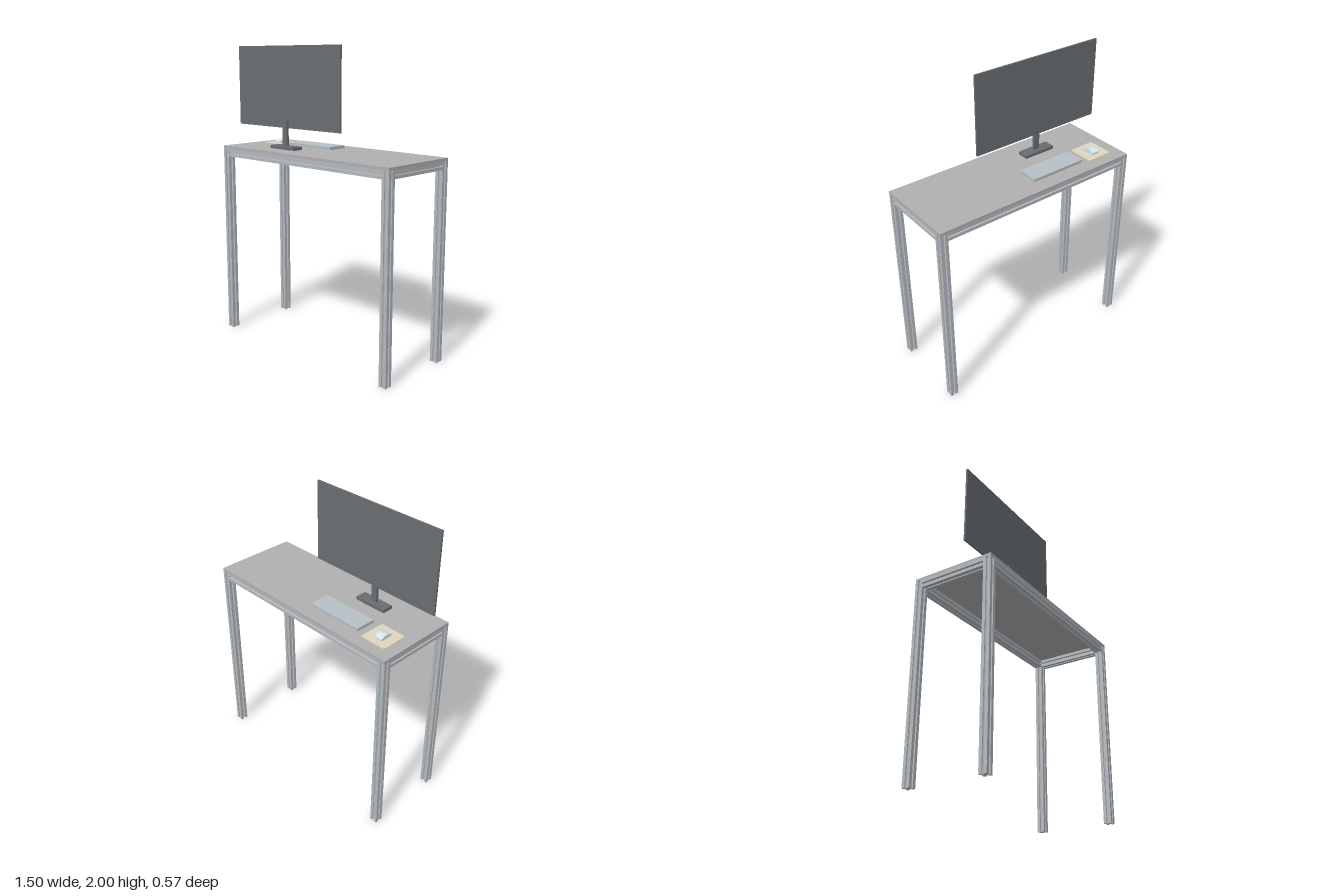
import * as THREE from 'three';

const mat = (color) => new THREE.MeshStandardMaterial({ color });
const METAL = mat(0xb4babf), TOP = mat(0xb0b0b0), DARK = mat(0x6a6e71);
const KEYS = mat(0xb6c0c5), PAD = mat(0xdfd6bb), MOUSE = mat(0xd3e4ee);

// Desk extents
const X0 = -0.73, X1 = 0.747, Z = 0.284, TOP_Y = 1.323, FRAME_Y = 1.305, W = 0.053;

function add(parent, name, geometry, material, x = 0, y = 0, z = 0) {
  const mesh = new THREE.Mesh(geometry, material);
  mesh.name = name;
  mesh.position.set(x, y, z);
  parent.add(mesh);
  return mesh;
}

// Box given by its minimum and maximum corners
function boxBetween(parent, name, material, a, b) {
  const size = b.map((v, i) => v - a[i]);
  const mid = b.map((v, i) => (v + a[i]) / 2);
  return add(parent, name, new THREE.BoxGeometry(...size), material, ...mid);
}

// Square bar section with a T-shaped slot in each of its four sides
function slottedProfile() {
  const h = W / 2, g = W * 0.11, t = W * 0.24, lip = h - W * 0.11, floor = W * 0.2;
  const side = [[-h, -h], [-g, -h], [-g, -lip], [-t, -lip], [-g, -floor],
    [g, -floor], [t, -lip], [g, -lip], [g, -h]];
  const points = [];
  for (let k = 0; k < 4; k++) {
    const c = [1, 0, -1, 0][k], s = [0, 1, 0, -1][k];
    for (const [x, y] of side) points.push(new THREE.Vector2(x * c - y * s, x * s + y * c));
  }
  return new THREE.Shape(points);
}

// Slotted bar centred on the origin, running along the given axis
function bar(length, axis) {
  const g = new THREE.ExtrudeGeometry(slottedProfile(), { depth: length, bevelEnabled: false });
  g.translate(0, 0, -length / 2);
  if (axis === 'x') g.rotateY(Math.PI / 2);
  if (axis === 'y') g.rotateX(Math.PI / 2);
  return g;
}

function roundedRect(w, h, r) {
  const s = new THREE.Shape(), x = w / 2, y = h / 2;
  s.absarc(x - r, y - r, r, 0, Math.PI / 2);
  s.absarc(r - x, y - r, r, Math.PI / 2, Math.PI);
  s.absarc(r - x, r - y, r, Math.PI, Math.PI * 1.5);
  s.absarc(x - r, r - y, r, Math.PI * 1.5, Math.PI * 2);
  return s;
}

function createDesk() {
  const desk = new THREE.Group();
  desk.name = 'desk';
  boxBetween(desk, 'tabletop', TOP, [X0, FRAME_Y, -Z], [X1, TOP_Y, Z]);

  const xs = [X0 + W / 2, X1 - W / 2], zs = [-Z + W / 2, Z - W / 2];
  const leg = bar(FRAME_Y, 'y');
  const longRail = bar(X1 - X0 - 2 * W, 'x');
  const shortRail = bar(2 * Z - 2 * W, 'z');
  const railY = FRAME_Y - W / 2;
  for (const x of xs) for (const z of zs) add(desk, 'leg', leg, METAL, x, FRAME_Y / 2, z);
  for (const z of zs) add(desk, 'longRail', longRail, METAL, (X0 + X1) / 2, railY, z);
  for (const x of xs) add(desk, 'shortRail', shortRail, METAL, x, railY, 0);
  return desk;
}

function createMonitor() {
  const monitor = new THREE.Group();
  monitor.name = 'monitor';
  boxBetween(monitor, 'screen', DARK, [-0.754, 1.462, 0.098], [0.213, 2, 0.11]);
  boxBetween(monitor, 'standPost', DARK, [-0.297, 1.343, 0.11], [-0.254, 1.515, 0.128]);
  boxBetween(monitor, 'standBase', DARK, [-0.39, TOP_Y, 0.076], [-0.161, 1.344, 0.154]);
  return monitor;
}

// Mouse: a block with an arched top, extruded across its width
function createMouse() {
  const s = new THREE.Shape();
  const half = 0.043, edge = 0.011, crown = 0.024;
  s.moveTo(-half, 0);
  s.lineTo(half, 0);
  s.lineTo(half, edge);
  s.quadraticCurveTo(0, 2 * crown - edge, -half, edge);
  s.closePath();
  const g = new THREE.ExtrudeGeometry(s, { depth: 0.056, bevelEnabled: false, curveSegments: 16 });
  g.translate(0, 0, -0.028);
  g.rotateY(Math.PI / 2);
  return g;
}

export function createModel() {
  const model = new THREE.Group();
  model.name = 'computerDesk';
  model.add(createDesk(), createMonitor());

  boxBetween(model, 'keyboard', KEYS, [-0.419, TOP_Y, -0.182], [-0.02, 1.343, -0.041]);

  const pad = new THREE.ExtrudeGeometry(roundedRect(0.185, 0.183, 0.013),
    { depth: 0.004, bevelEnabled: false, curveSegments: 6 });
  pad.rotateX(-Math.PI / 2);
  add(model, 'mousePad', pad, PAD, -0.559, TOP_Y, -0.111);
  add(model, 'mouse', createMouse(), MOUSE, -0.561, TOP_Y + 0.004, -0.115);
  return model;
}
